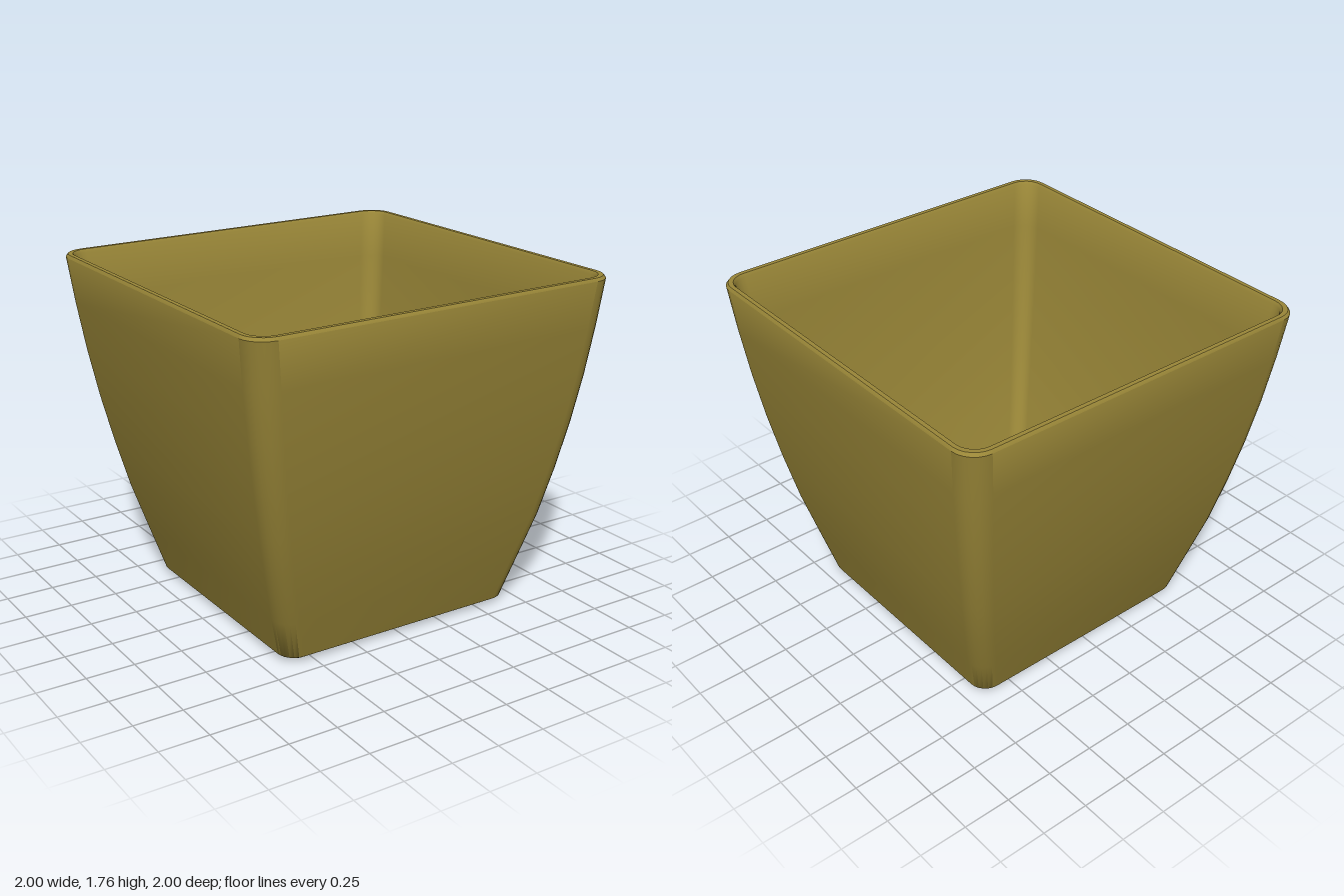
import * as THREE from 'three';
import { toCreasedNormals } from 'three/addons/utils/BufferGeometryUtils.js';

const FLOOR = 0.07, UNDER = 0.012, FLOOR_HALF = 0.64, FLOOR_RADIUS = 0.07;

// Rounded square, counter-clockwise
function roundedSquare(half, radius, steps = 6) {
  const points = [];
  for (let corner = 0; corner < 4; corner++) {
    const mid = (corner + 0.5) * Math.PI / 2;
    const cx = Math.sign(Math.cos(mid)) * (half - radius);
    const cy = Math.sign(Math.sin(mid)) * (half - radius);
    for (let i = 0; i <= steps; i++) {
      const a = (corner + i / steps) * Math.PI / 2;
      points.push(new THREE.Vector2(cx + Math.cos(a) * radius, cy + Math.sin(a) * radius));
    }
  }
  return points;
}

// Skin through a stack of rounded squares: [half width, height, corner radius]
function loft(sections) {
  const positions = [], indices = [];
  let n = 0;
  for (const [half, y, radius] of sections) {
    const ring = roundedSquare(half, radius);
    n = ring.length;
    for (const p of ring) positions.push(p.x, y, -p.y);
  }
  for (let s = 0; s < sections.length - 1; s++) {
    for (let j = 0; j < n; j++) {
      const a = s * n + j, b = s * n + (j + 1) % n;
      indices.push(a, b, b + n, a, b + n, a + n);
    }
  }
  const geometry = new THREE.BufferGeometry();
  geometry.setAttribute('position', new THREE.Float32BufferAttribute(positions, 3));
  geometry.setIndex(indices);
  return geometry;
}

// Slight hand-made lean: base sits off centre, rim slopes
function lean(geometry) {
  const p = geometry.attributes.position;
  for (let i = 0; i < p.count; i++) {
    const x = p.getX(i), y = p.getY(i), t = y / 1.75;
    p.setX(i, x + 0.018 * (1 - t));
    p.setY(i, y + 0.01 * t * x - 0.003 * t * p.getZ(i));
  }
  return geometry;
}

export function createModel() {
  const group = new THREE.Group();
  group.name = 'planter';
  const clay = new THREE.MeshStandardMaterial({ color: 0x9a8738 });
  clay.name = 'olive';
  const add = (name, geometry) => {
    const mesh = new THREE.Mesh(geometry, clay);
    mesh.name = name;
    group.add(mesh);
    return mesh;
  };

  // Curved wall: up the outside, over the rim, down the inside
  const outer = [
    [0.668, 0.03, 0.09], [0.73, 0.25, 0.1], [0.797, 0.5, 0.1], [0.852, 0.75, 0.105],
    [0.9, 1.0, 0.11], [0.94, 1.25, 0.115], [0.973, 1.5, 0.12], [0.998, 1.735, 0.12],
  ];
  const inner = outer.slice(1).reverse().map(([half, y, r]) => [half - 0.042, y, r - 0.025]);
  const wall = loft([
    [FLOOR_HALF, UNDER, FLOOR_RADIUS],
    ...outer,
    [0.988, 1.75, 0.115], [0.966, 1.75, 0.1],
    ...inner,
    [0.648, 0.1, 0.07],
    [FLOOR_HALF, FLOOR, FLOOR_RADIUS],
  ]);
  add('wall', toCreasedNormals(lean(wall), 0.7));

  // Floor with five drainage holes
  const floor = new THREE.Shape(roundedSquare(FLOOR_HALF, FLOOR_RADIUS));
  for (const [x, z, r] of [[0, 0.01, 0.08], [0, -0.42, 0.072], [0, 0.41, 0.072], [-0.415, -0.01, 0.07], [0.415, -0.01, 0.07]]) {
    const hole = new THREE.Path();
    hole.absarc(x, -z, r, 0, Math.PI * 2, true);
    floor.holes.push(hole);
  }
  const slab = new THREE.ExtrudeGeometry(floor, { depth: FLOOR - UNDER, bevelEnabled: false, curveSegments: 5 });
  slab.rotateX(-Math.PI / 2).translate(0, UNDER, 0);
  add('floor', lean(slab));

  // Low feet under the corners
  for (const x of [-0.52, 0.52]) {
    for (const z of [-0.52, 0.52]) {
      add('foot', new THREE.CylinderGeometry(0.07, 0.05, 0.016, 12)).position.set(x + 0.018, 0.008, z);
    }
  }
  return group;
}
